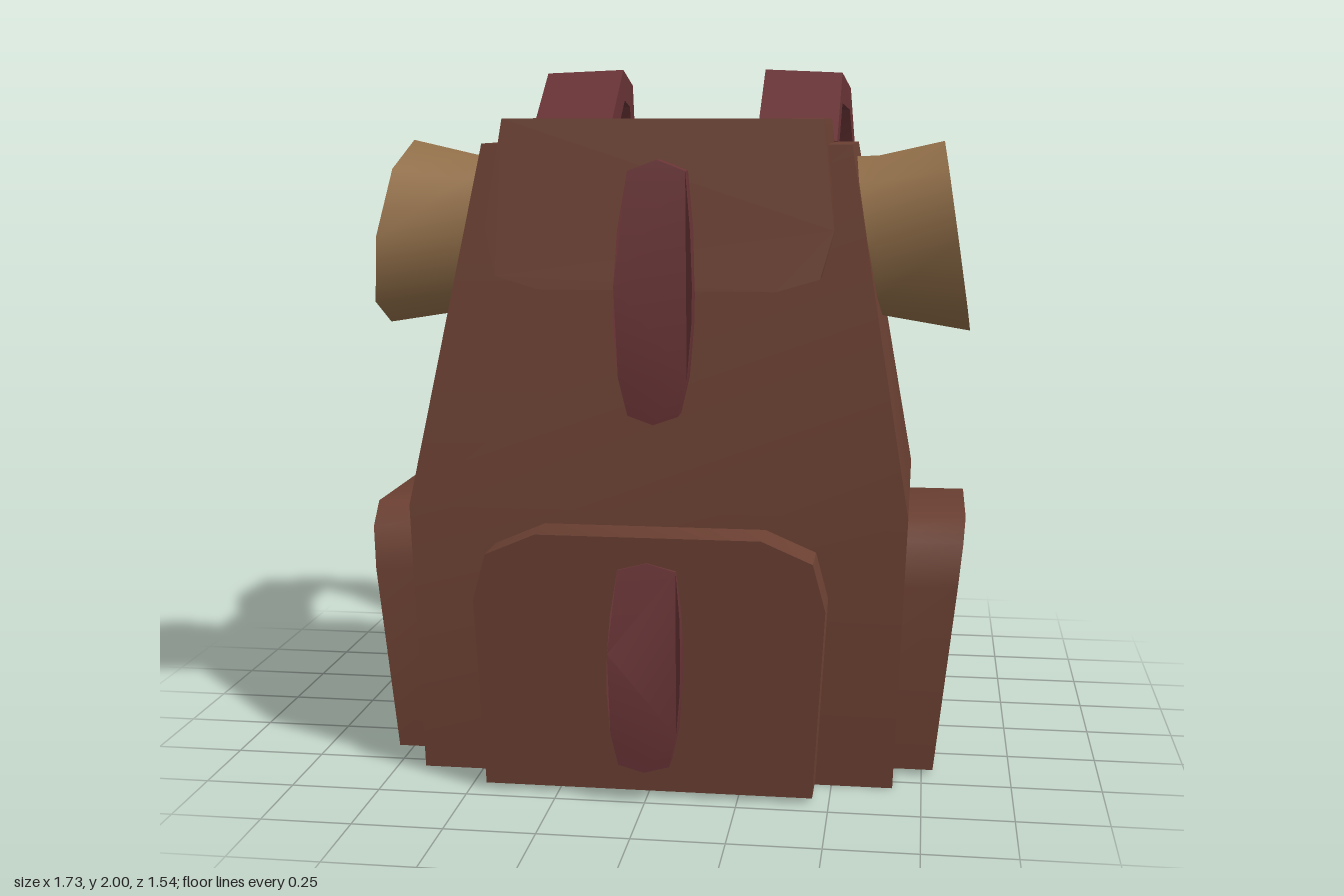
import * as THREE from 'three';
import { toCreasedNormals } from 'three/addons/utils/BufferGeometryUtils.js';

const leather = new THREE.MeshStandardMaterial({ color: 0x6b4032 });
const strapRed = new THREE.MeshStandardMaterial({ color: 0x693436 });
const canvas = new THREE.MeshStandardMaterial({ color: 0x93704a, side: THREE.DoubleSide });

// Moves every vertex of a geometry by rule(v)
function reshape(geometry, rule, crease = 0.7) {
  const p = geometry.attributes.position;
  const v = new THREE.Vector3();
  for (let i = 0; i < p.count; i++) {
    rule(v.fromBufferAttribute(p, i));
    p.setXYZ(i, v.x, v.y, v.z);
  }
  return toCreasedNormals(geometry, crease);
}

function part(name, geometry, material) {
  const mesh = new THREE.Mesh(geometry, material);
  mesh.name = name;
  return mesh;
}

// Symmetric plate: right half of its outline, with back and front depth as functions of y
function plate(half, back, front) {
  const mirrored = half.filter(([x]) => x > 0).reverse().map(([x, y]) => [-x, y]);
  const shape = new THREE.Shape([...half, ...mirrored].map(([x, y]) => new THREE.Vector2(x, y)));
  const geometry = new THREE.ExtrudeGeometry(shape, { depth: 1, bevelEnabled: false });
  return reshape(geometry, (v) => { v.z = THREE.MathUtils.lerp(back(v.y), front(v.y), v.z); });
}

// Piecewise linear function through [y, value] pairs with rising y
const through = (pairs) => (y) => {
  let i = 1;
  while (i < pairs.length - 1 && y > pairs[i][0]) i++;
  const [[y0, a], [y1, b]] = [pairs[i - 1], pairs[i]];
  return THREE.MathUtils.mapLinear(y, y0, y1, a, b);
};

// Main bag: tapered box in three levels [y, half width, back z, front z]
function makeBody() {
  const levels = [[0, 0.67, -0.31, 0.55], [0.77, 0.70, -0.32, 0.555], [1.78, 0.525, -0.13, 0.35]];
  return reshape(new THREE.BoxGeometry(1, 1, 1, 1, 2, 1), (v) => {
    const [y, w, back, front] = levels[Math.round((v.y + 0.5) * 2)];
    v.set(Math.sign(v.x) * w, y, v.z > 0 ? front : back);
  }, 0.5);
}

// Shoulder strap: [outer z, outer y, inner z, inner y, centre x]
function makeStrap(side) {
  const path = [
    [-0.02, 1.79, -0.13, 1.76, 0.345],
    [-0.31, 2.00, -0.335, 1.905, 0.345],
    [-0.59, 1.955, -0.53, 1.885, 0.36],
    [-0.75, 1.70, -0.67, 1.67, 0.375],
    [-0.77, 1.335, -0.685, 1.36, 0.385],
    [-0.65, 0.885, -0.57, 0.92, 0.39],
    [-0.36, 0.415, -0.32, 0.44, 0.375],
  ];
  return reshape(new THREE.BoxGeometry(1, 1, 1, 1, 6, 1), (v) => {
    const [oz, oy, iz, iy, cx] = path[Math.round((v.y + 0.5) * 6)];
    const lean = v.x * side > 0 ? 0.985 : 1;   // outer edge sits slightly lower
    const [z, y] = v.z > 0 ? [oz, oy] : [iz, iy];
    v.set(side * cx + v.x * 0.24, 1.3 + (y - 1.3) * lean, z * lean);
  });
}

// Rolled blanket end: octagonal lathe with a stepped mouth, end face slanted
function makeRoll() {
  const profile = [
    [0.225, 0.45], [0.23, 0.6], [0.272, 0.822], [0.24, 0.822], [0.225, 0.75],
    [0.175, 0.75], [0.175, 0.81], [0.158, 0.81], [0.12, 0.65], [0.12, 0.5],
  ].map(([r, h]) => new THREE.Vector2(r, h));
  const geometry = new THREE.LatheGeometry(profile, 8).rotateZ(-Math.PI / 2);
  return reshape(geometry, (v) => {
    v.x -= v.y * 0.155 * THREE.MathUtils.clamp((v.x - 0.55) / 0.27, 0, 1);
  }, 0.85);
}

export function createModel() {
  const model = new THREE.Group();
  model.name = 'backpack';
  model.add(part('body', makeBody(), leather));

  // Lid wraps over the top edge and down the front
  const lid = [[0.33, 1.385], [0.45, 1.42], [0.485, 1.55], [0.45, 1.85]];
  model.add(part('lid', plate(lid, () => 0, through([[1.385, 0.53], [1.85, 0.415]])), leather));

  const frontPocket = [[0.455, 0.015], [0.485, 0.54], [0.45, 0.67], [0.31, 0.73]];
  model.add(part('frontPocket', plate(frontPocket, () => 0.4, () => 0.695), leather));

  // Closing tabs, bowed away from the lid and the pocket
  const lidTab = [[0, 1.02], [0.07, 1.045], [0.095, 1.15], [0.108, 1.3], [0.108, 1.4],
    [0.1, 1.55], [0.08, 1.71], [0, 1.74]];
  model.add(part('lidTab', plate(lidTab,
    through([[1.02, 0.51], [1.26, 0.53], [1.4, 0.515], [1.74, 0.43]]),
    through([[1.02, 0.58], [1.28, 0.595], [1.55, 0.56], [1.74, 0.5]])), strapRed));

  const pocketTab = [[0, 0.09], [0.07, 0.11], [0.09, 0.2], [0.1, 0.32], [0.1, 0.42],
    [0.095, 0.52], [0.08, 0.64], [0, 0.66]];
  model.add(part('pocketTab', plate(pocketTab,
    through([[0.09, 0.7], [0.3, 0.71], [0.45, 0.69], [0.66, 0.63]]),
    through([[0.09, 0.76], [0.27, 0.775], [0.46, 0.755], [0.66, 0.7]])), strapRed));

  // Paired parts
  const sidePocket = [[0.31, 0.015], [0.31, 0.55], [0.28, 0.67], [0.2, 0.73]];
  for (const [name, side] of [['left', 1], ['right', -1]]) {
    const pocket = part(name + 'SidePocket',
      plate(sidePocket, () => 0.5, (y) => 0.78 + 0.11 * y), leather);
    pocket.rotation.y = side * Math.PI / 2;
    pocket.position.z = 0.122;

    const roll = part(name + 'BlanketRoll', makeRoll(), canvas);
    roll.rotation.y = side > 0 ? 0 : Math.PI;
    roll.position.set(0, 1.515, 0.14);

    model.add(pocket, roll, part(name + 'ShoulderStrap', makeStrap(side), strapRed));
  }
  return model;
}
